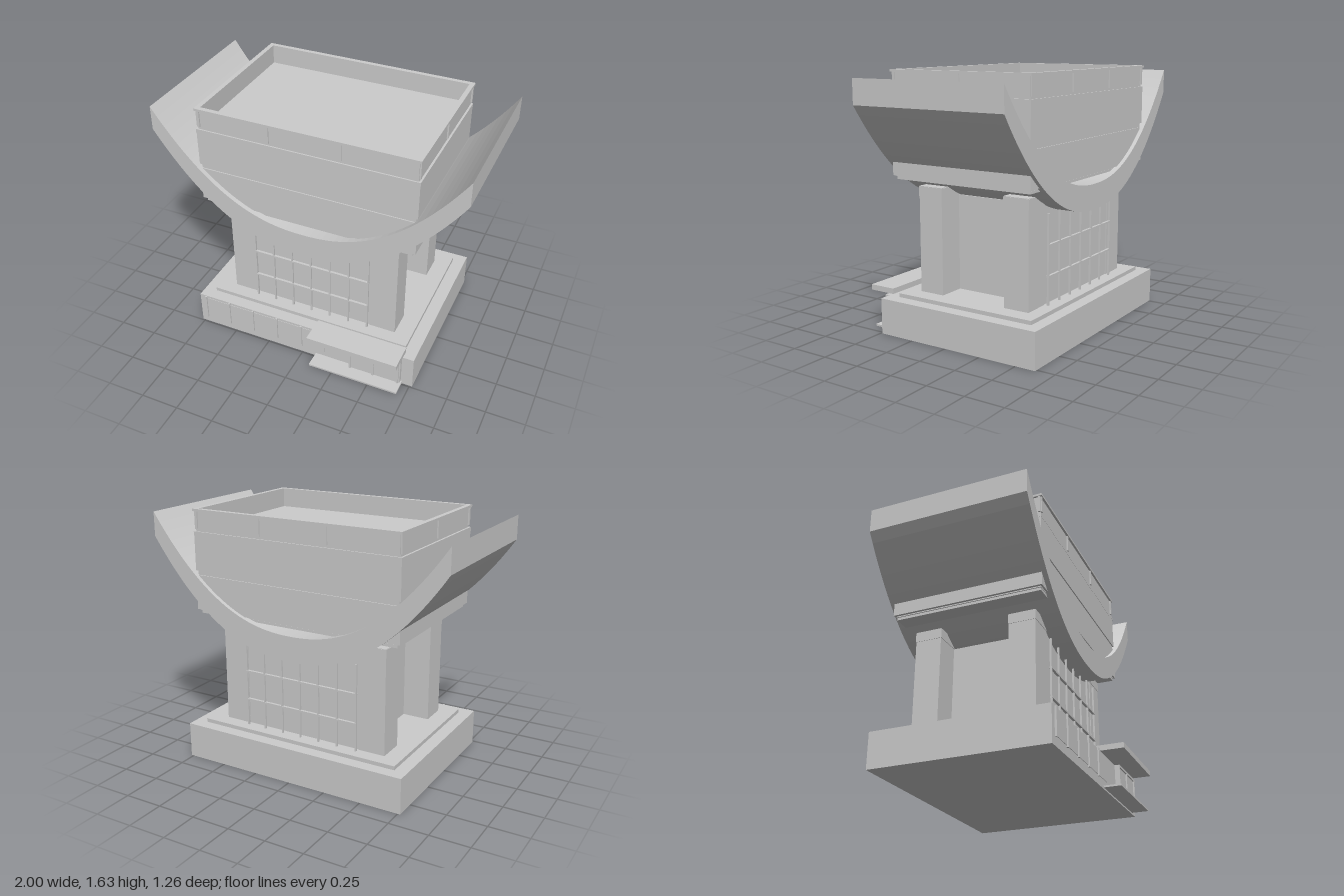
import * as THREE from 'three';

const concrete = new THREE.MeshStandardMaterial({ color: 0xcccccc });
concrete.name = 'pale concrete';
const ZC = -0.07; // depth centre of the main building

export function createModel() {
  const model = new THREE.Group();
  model.name = 'building';

  const group = (name) => {
    const g = new THREE.Group();
    g.name = name;
    model.add(g);
    return g;
  };
  // Box given by its limits on each axis
  const box = (name, x0, x1, y0, y1, z0, z1, parent = model) => {
    const m = new THREE.Mesh(new THREE.BoxGeometry(x1 - x0, y1 - y0, z1 - z0), concrete);
    m.position.set((x0 + x1) / 2, (y0 + y1) / 2, (z0 + z1) / 2);
    m.name = name;
    parent.add(m);
    return m;
  };
  // Bar centred on x and on the building depth
  const slab = (name, hx, y0, y1, hz, parent) =>
    box(name, -hx, hx, y0, y1, ZC - hz, ZC + hz, parent);

  // Base and plinth
  box('base', -0.767, 0.767, 0, 0.228, -0.63, 0.49);
  slab('plinth', 0.685, 0.228, 0.253, 0.483);

  // Core and corner pillars
  box('core', -0.4, 0.4, 0.25, 0.86, -0.46, 0.32);
  const pillars = group('pillars');
  for (const s of [-1, 1]) for (const t of [-1, 1]) {
    const x = s * 0.4875, z = ZC + t * 0.31;
    box('pillar', x - 0.0875, x + 0.0875, 0.25, 0.925, z - 0.085, z + 0.085, pillars);
    box('pillarCap', x - 0.09, x + 0.09, 0.86, 0.922, z - 0.088, z + 0.088, pillars);
  }

  // Window grids on front and back of the core
  const grids = group('windowGrids');
  for (const t of [-1, 1]) {
    const z = ZC + t * 0.419;
    for (let i = 0; i < 7; i++) {
      const x = -0.393 + i * 0.131;
      box('mullion', x - 0.005, x + 0.005, 0.25, 0.81, z - 0.006, z + 0.006, grids);
    }
    for (const y of [0.43, 0.62])
      box('transom', -0.398, 0.398, y - 0.006, y + 0.006, z - 0.008, z + 0.008, grids);
  }

  // Upswept curved shell
  const rise = (x) => 0.66 * Math.pow(Math.abs(x), 2.25);
  const shape = new THREE.Shape();
  const N = 48;
  for (let i = 0; i <= N; i++) {
    const x = -1 + (2 * i) / N;
    if (i) shape.lineTo(x, 0.78 + rise(x));
    else shape.moveTo(x, 0.78 + rise(x));
  }
  for (let i = N; i >= 0; i--) {
    const x = -1 + (2 * i) / N;
    shape.lineTo(x, 0.94 + rise(x) * 0.992);
  }
  const shellGeo = new THREE.ExtrudeGeometry(shape, { depth: 1.035, bevelEnabled: false });
  shellGeo.translate(0, 0, -0.585);
  const shell = new THREE.Mesh(shellGeo, concrete);
  shell.name = 'curvedShell';
  model.add(shell);

  // Louvred upper storey
  const upper = group('upperStorey');
  slab('upperBody', 0.675, 0.975, 1.5, 0.462, upper);
  for (const y of [1.005, 1.05, 1.095, 1.14, 1.185, 1.275, 1.32, 1.365, 1.41, 1.455])
    slab('louvre', 0.69, y - 0.012, y + 0.012, 0.477, upper);
  slab('middleBand', 0.695, 1.222, 1.25, 0.482, upper);
  slab('topBand', 0.708, 1.47, 1.495, 0.49, upper);
  slab('bottomBand', 0.685, 0.975, 0.992, 0.475, upper);
  for (const [y0, y1] of [[1.0, 1.222], [1.25, 1.47]]) {
    for (const x of [-0.692, -0.35, 0, 0.35, 0.692])
      slab('frontBackPost', 0.014, y0, y1, 0.489, upper).position.x = x;
    for (const dz of [-0.475, -0.16, 0.16, 0.475])
      slab('sidePost', 0.706, y0, y1, 0.014, upper).position.z = ZC + dz;
  }

  // Parapet: four walls, rim and ribs around a sunken roof
  const parapet = group('parapet');
  const ring = (name, hx, hz, w, y0, y1) => {
    for (const s of [-1, 1]) {
      slab(name, hx, y0, y1, w / 2, parapet).position.z = ZC + s * (hz - w / 2);
      slab(name, w / 2, y0, y1, hz - w, parapet).position.x = s * (hx - w / 2);
    }
  };
  slab('roof', 0.692, 1.49, 1.51, 0.478, parapet);
  ring('parapetWall', 0.695, 0.481, 0.015, 1.495, 1.622);
  ring('parapetRim', 0.708, 0.495, 0.03, 1.62, 1.635);
  for (const t of [-1, 1])
    for (const x of [-0.687, -0.23, 0.23, 0.687])
      box('frontBackRib', x - 0.008, x + 0.008, 1.51, 1.622,
        ZC + t * 0.483 - 0.007, ZC + t * 0.483 + 0.007, parapet);
  for (const s of [-1, 1])
    for (const dz of [-0.474, 0, 0.474])
      box('sideRib', s * 0.697 - 0.007, s * 0.697 + 0.007, 1.51, 1.622,
        ZC + dz - 0.008, ZC + dz + 0.008, parapet);

  // Ground floor window strip
  const strip = group('windowStrip');
  for (let i = 0; i < 5; i++) {
    const x = -0.72 + i * 0.178;
    box('stripMullion', x - 0.006, x + 0.006, 0.05, 0.225, 0.488, 0.502, strip);
  }
  box('stripGlass', -0.72, 0.16, 0.06, 0.212, 0.488, 0.493, strip);

  // Entrance with canopy and step
  const entrance = group('entrance');
  box('entranceWall', 0.345, 0.69, 0.02, 0.228, 0.488, 0.514, entrance);
  for (const x of [0.35, 0.507, 0.675])
    box('doorPost', x - 0.006, x + 0.006, 0.022, 0.215, 0.51, 0.523, entrance);
  box('doorHeader', 0.345, 0.69, 0.212, 0.228, 0.51, 0.523, entrance);
  box('canopy', 0.095, 0.7, 0.245, 0.28, 0.45, 0.628, entrance);
  box('step', 0.095, 0.7, 0.01, 0.022, 0.488, 0.6, entrance);

  return model;
}
